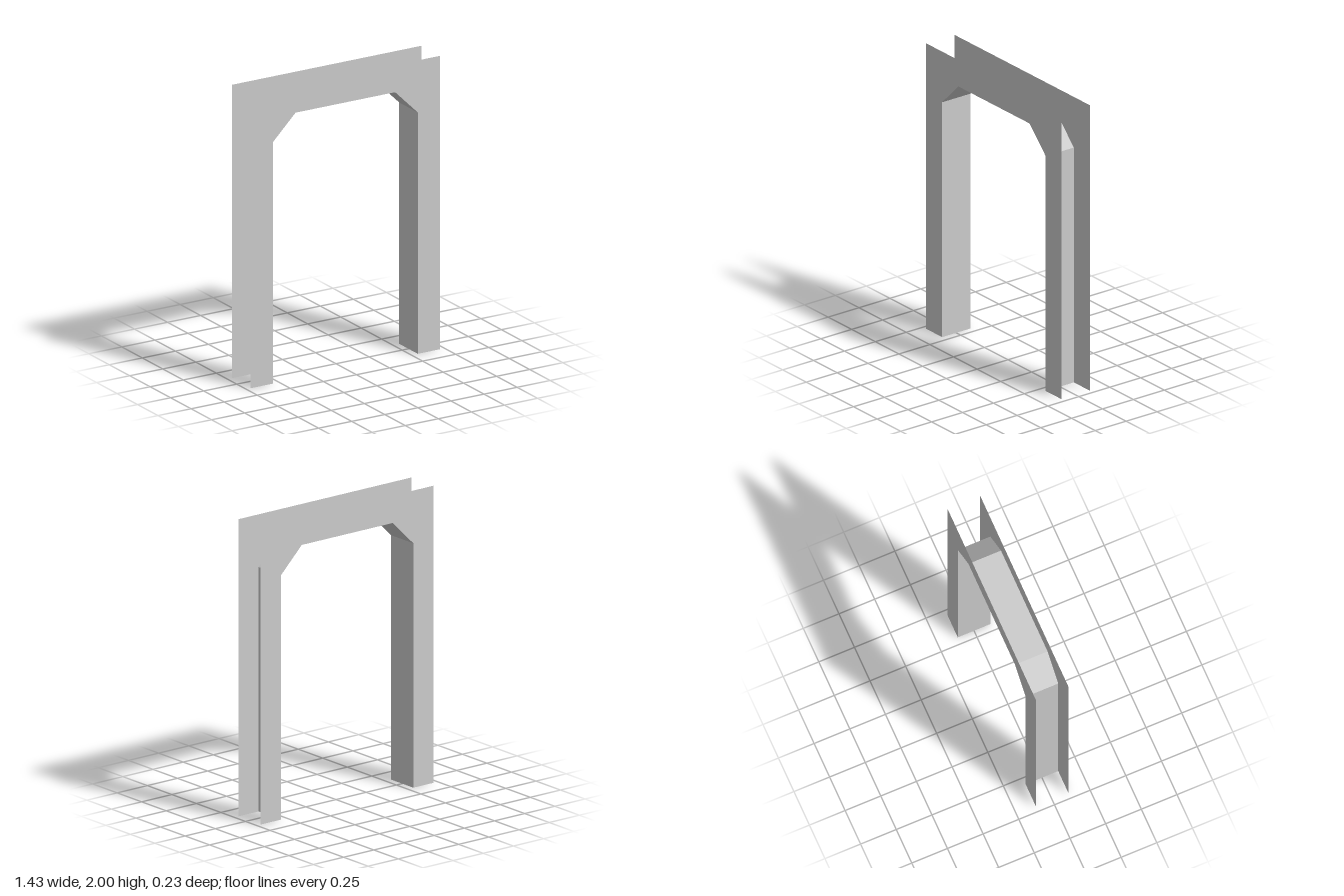
import * as THREE from 'three';

const HALF_W = 0.717, HEIGHT = 2, HALF_D = 0.114;

// Edge of the chamfered opening, from left foot to right foot
const opening = [
  [0.548, 0], [0.548, 1.645], [0.376, 1.815],
  [-0.376, 1.815], [-0.548, 1.645], [-0.548, 0],
];

export function createModel() {
  const group = new THREE.Group();
  group.name = 'doorFrame';
  const grey = new THREE.MeshStandardMaterial({ color: 0xcccccc, side: THREE.DoubleSide });
  grey.name = 'light grey';

  // Flat casings on the front and back
  const outline = [[-HALF_W, 0], [-HALF_W, HEIGHT], [HALF_W, HEIGHT], [HALF_W, 0], ...opening];
  const casing = new THREE.ShapeGeometry(
    new THREE.Shape(outline.map(([x, y]) => new THREE.Vector2(x, y))));
  for (const side of [1, -1]) {
    const mesh = new THREE.Mesh(casing, grey);
    mesh.name = side > 0 ? 'frontCasing' : 'backCasing';
    mesh.position.z = side * HALF_D;
    if (side < 0) mesh.rotation.y = Math.PI;
    group.add(mesh);
  }

  // Lining: one flat strip per opening segment, facing inwards
  const names = ['leftJamb', 'leftChamfer', 'headLining', 'rightChamfer', 'rightJamb'];
  names.forEach((name, i) => {
    const [x0, y0] = opening[i], [x1, y1] = opening[i + 1];
    const strip = new THREE.PlaneGeometry(Math.hypot(x1 - x0, y1 - y0), HALF_D * 2);
    strip.rotateX(-Math.PI / 2);
    const mesh = new THREE.Mesh(strip, grey);
    mesh.name = name;
    mesh.position.set((x0 + x1) / 2, (y0 + y1) / 2, 0);
    mesh.rotation.z = Math.atan2(y1 - y0, x1 - x0);
    group.add(mesh);
  });

  return group;
}
